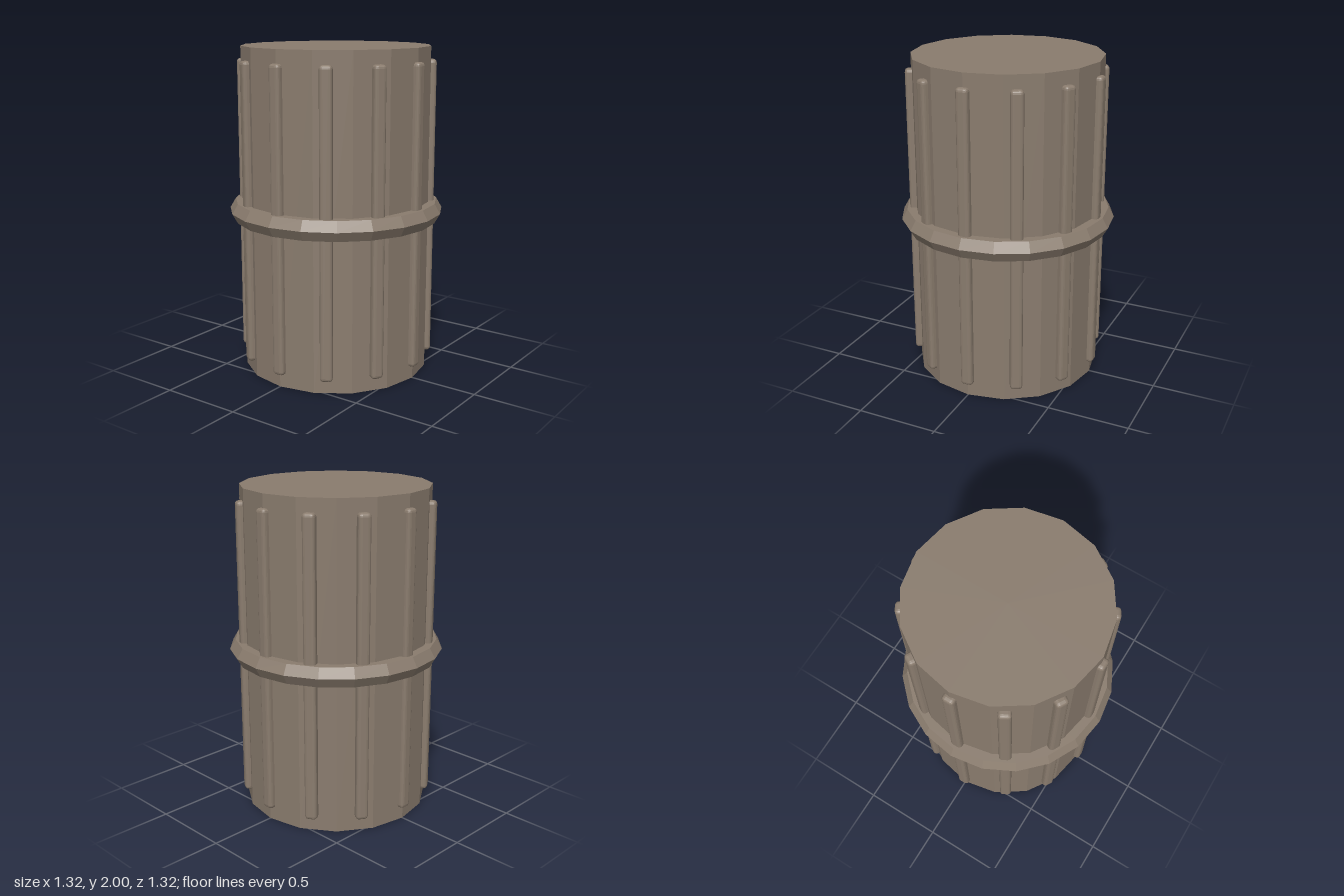
import * as THREE from 'three';
import { RoundedBoxGeometry } from 'three/addons/geometries/RoundedBoxGeometry.js';

export function createModel() {
  const model = new THREE.Group();
  model.name = 'ribbedBarrel';
  const brown = new THREE.MeshStandardMaterial({ color: 0x8a7c6e, flatShading: true });
  brown.name = 'greyBrown';

  const add = (name, geometry) => {
    const mesh = new THREE.Mesh(geometry, brown);
    mesh.name = name;
    model.add(mesh);
    return mesh;
  };

  // Sixteen-sided body with closed ends
  add('body', new THREE.CylinderGeometry(0.575, 0.575, 2, 16)).position.y = 1;

  // Hexagonal-section band around the middle
  const band = add('middleBand', new THREE.TorusGeometry(0.59, 0.07, 6, 20));
  band.rotation.x = Math.PI / 2;
  band.position.y = 1;

  // Twelve upright ribs, half sunk into the body
  const ribGeometry = new RoundedBoxGeometry(0.076, 1.84, 0.076, 2, 0.022);
  for (let i = 0; i < 12; i++) {
    const angle = (i * Math.PI) / 6;
    const rib = add('rib' + (i + 1), ribGeometry);
    rib.position.set(0.567 * Math.sin(angle), 1, 0.567 * Math.cos(angle));
    rib.rotation.y = angle;
  }
  return model;
}
